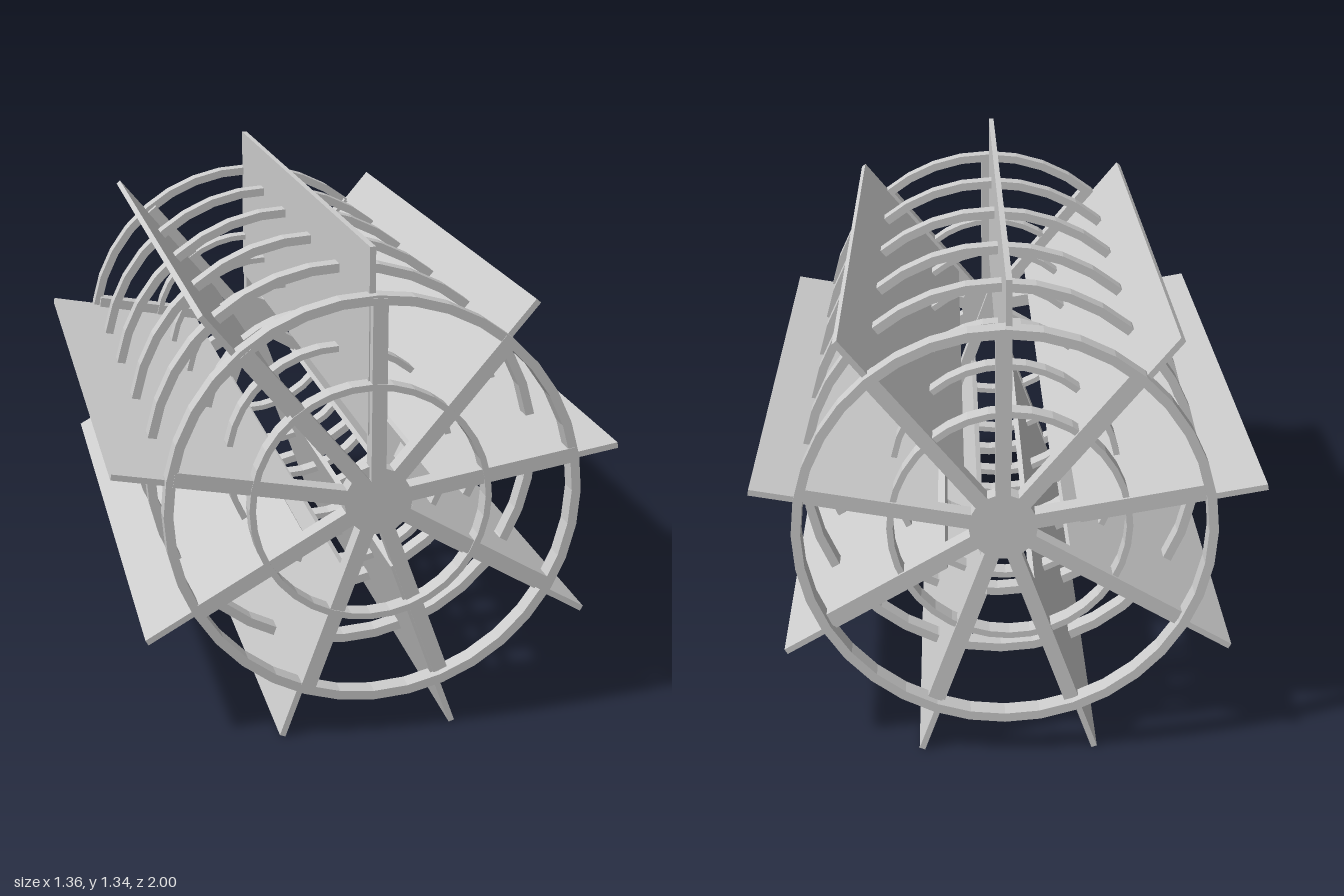
import * as THREE from 'three';

const PADDLES = 9;
const mat = new THREE.MeshStandardMaterial({ color: 0xcccccc, flatShading: true });

// Flat band ring around the z axis, with a rectangular section
function ring(name, outer, inner, depth, x, y, z) {
  const h = depth / 2;
  const profile = [[inner, -h], [outer, -h], [outer, h], [inner, h], [inner, -h]]
    .map(([r, t]) => new THREE.Vector2(r, t));
  const geo = new THREE.LatheGeometry(profile, 36).rotateX(Math.PI / 2);
  const mesh = new THREE.Mesh(geo, mat);
  mesh.name = name;
  mesh.position.set(x, y, z);
  return mesh;
}

// Box reaching from radius r0 to r1, turned clockwise from straight up
function radialBox(name, width, r0, r1, depth, x, y, z, angle) {
  const geo = new THREE.BoxGeometry(width, r1 - r0, depth).translate(0, (r0 + r1) / 2, 0);
  const mesh = new THREE.Mesh(geo, mat);
  mesh.name = name;
  mesh.position.set(x, y, z);
  mesh.rotation.z = -angle;
  return mesh;
}

export function createModel() {
  const wheel = new THREE.Group();
  wheel.name = 'paddleWheel';

  for (let i = 0; i < PADDLES; i++) {
    const a = (i / PADDLES) * Math.PI * 2;
    // Long thin blade, open toward the middle of the wheel
    wheel.add(radialBox('paddle', 0.016, 0.19, 0.69, 1.93, 0, 0.653, -0.003, a));
    // Spokes overlap past the centre to form the hub; one front spoke sits deeper
    const frontZ = i === 4 ? 0.94 : 0.965;
    wheel.add(radialBox('frontSpoke', 0.04, -0.09, 0.545, 0.055, 0.015, 0.67, frontZ, a));
    wheel.add(radialBox('backSpoke', 0.04, -0.09, 0.545, 0.055, 0.015, 0.67, -0.948, a));
  }

  // Rims at the two ends
  wheel.add(ring('frontRim', 0.56, 0.535, 0.055, 0.01, 0.663, 0.963));
  wheel.add(ring('backRim', 0.56, 0.535, 0.057, 0.01, 0.663, -0.971));
  wheel.add(ring('frontInnerRing', 0.325, 0.308, 0.055, -0.003, 0.665, 0.968));
  wheel.add(ring('backInnerRing', 0.325, 0.308, 0.055, -0.003, 0.665, -0.94));

  // Stiffening hoops along the blades
  for (const z of [0.58, 0.197, -0.2, -0.568]) {
    wheel.add(ring('outerHoop', 0.56, 0.535, 0.054, 0.01, 0.663, z));
    wheel.add(ring('innerHoop', 0.325, 0.308, 0.054, -0.003, 0.665, z));
  }
  return wheel;
}
